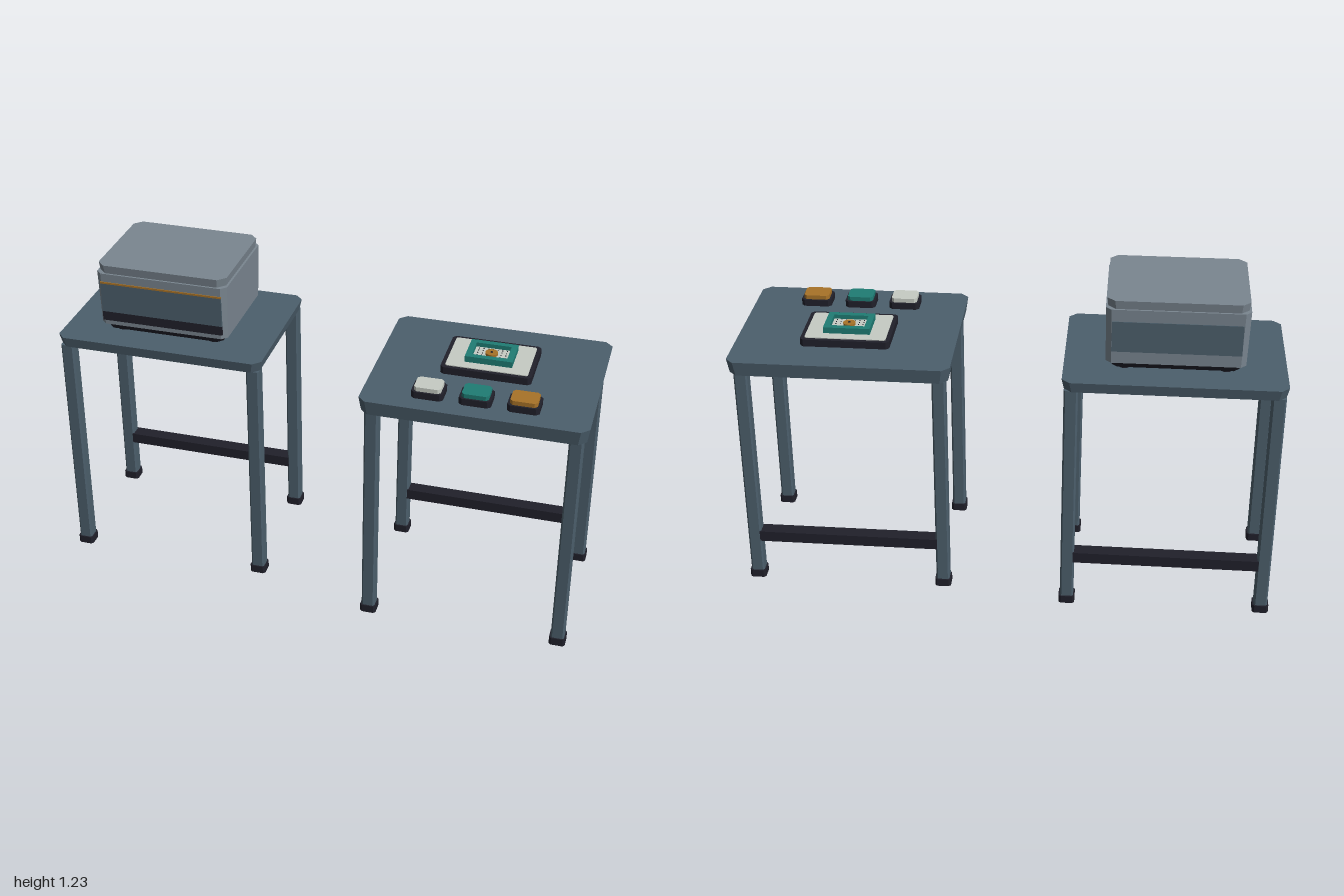
import * as THREE from 'three';

const paint = (name, color) => {
  const m = new THREE.MeshStandardMaterial({ color });
  m.name = name;
  return m;
};

// Upright block with cut corners; the bottom can be drawn in by "inset".
function block(w, d, h, cut, inset = 0) {
  const x = w / 2, z = d / 2;
  const s = new THREE.Shape([
    [x - cut, -z], [x, -z + cut], [x, z - cut], [x - cut, z],
    [-x + cut, z], [-x, z - cut], [-x, -z + cut], [-x + cut, -z],
  ].map(([a, b]) => new THREE.Vector2(a, b)));
  const g = new THREE.ExtrudeGeometry(s, { depth: h, bevelEnabled: false });
  g.rotateX(-Math.PI / 2);
  const p = g.attributes.position;
  for (let i = 0; i < p.count; i++) {
    if (p.getY(i) < h / 2) {
      p.setX(i, p.getX(i) * (1 - inset / x));
      p.setZ(i, p.getZ(i) * (1 - inset / z));
    }
  }
  g.computeVertexNormals();
  return g;
}

function add(parent, name, geometry, material, x, y, z) {
  const m = new THREE.Mesh(geometry, material);
  m.name = name;
  m.position.set(x, y, z);
  parent.add(m);
  return m;
}

export function createModel() {
  const slate = paint('slate', 0x4c5f6c);
  const grey = paint('steel grey', 0x7a8690);
  const dark = paint('near black', 0x20202a);
  const teal = paint('teal', 0x1f7c74);
  const amber = paint('amber', 0xa87328);
  const ivory = paint('ivory', 0xc6ccc4);

  const model = new THREE.Group();
  const group = (name) => {
    const g = new THREE.Group();
    g.name = name;
    model.add(g);
    return g;
  };

  // Table: top, four legs with feet, and a rear crossbar
  function table(name, cx, cz, w, d, under, legX, legZ, barY) {
    const t = group(name);
    add(t, 'tableTop', block(w, d, 0.945 - under, 0.028, 0.008), slate, cx, under, cz);
    for (const sx of [-1, 1]) {
      for (const sz of [-1, 1]) {
        const x = cx + sx * legX, z = cz + sz * legZ;
        add(t, 'leg', block(0.05, 0.05, under - 0.02, 0.006), slate, x, 0.02, z);
        add(t, 'foot', block(0.06, 0.06, 0.03, 0.008), dark, x, 0, z);
      }
    }
    add(t, 'crossbar', new THREE.BoxGeometry(legX * 2 - 0.04, 0.042, 0.054), dark, cx, barY, cz - legZ);
  }
  table('machineTable', -0.604, -0.073, 0.792, 0.565, 0.905, 0.363, 0.243, 0.205);
  table('controlTable', 0.596, 0.022, 0.808, 0.655, 0.89, 0.36, 0.27, 0.187);

  // Machine: feet, plinth, body and lid
  const machine = group('machine');
  const mx = -0.604, mz = -0.068;
  for (const sx of [-1, 1]) {
    for (const sz of [-1, 1]) {
      add(machine, 'machineFoot', new THREE.CylinderGeometry(0.022, 0.022, 0.025, 12), dark,
        mx + sx * 0.18, 0.9575, mz + sz * 0.135);
    }
  }
  add(machine, 'plinth', block(0.47, 0.385, 0.025, 0.02, 0.012), dark, mx, 0.962, mz);
  add(machine, 'body', block(0.502, 0.405, 0.208, 0.02, 0.005), grey, mx, 0.985, mz);
  add(machine, 'lid', block(0.494, 0.398, 0.033, 0.028, 0.004), grey, mx, 1.192, mz);

  // Front and back panels
  add(machine, 'frontPanel', new THREE.BoxGeometry(0.465, 0.115, 0.008), slate, mx, 1.0975, 0.132);
  add(machine, 'frontSlot', new THREE.BoxGeometry(0.465, 0.036, 0.009), dark, mx, 1.022, 0.131);
  add(machine, 'statusStrip', new THREE.BoxGeometry(0.465, 0.007, 0.009), amber, mx, 1.157, 0.1325);
  add(machine, 'backPanel', new THREE.BoxGeometry(0.455, 0.115, 0.008), slate, mx, 1.09, -0.268);

  // Test board: dark tray, pale plate, teal frame and amber core
  const board = group('testBoard');
  const bx = 0.593, bz = -0.034;
  add(board, 'tray', block(0.328, 0.24, 0.027, 0.012), dark, bx, 0.945, bz);
  add(board, 'plate', block(0.298, 0.21, 0.004, 0.006), ivory, bx, 0.971, bz);
  for (const s of [-1, 1]) {
    add(board, 'frameSide', new THREE.BoxGeometry(0.022, 0.024, 0.132), teal, bx + s * 0.075, 0.986, bz);
    add(board, 'frameEnd', new THREE.BoxGeometry(0.128, 0.024, 0.022), teal, bx, 0.986, bz + s * 0.055);
  }
  add(board, 'frameFloor', new THREE.BoxGeometry(0.13, 0.008, 0.09), ivory, bx, 0.978, bz);
  add(board, 'core', new THREE.CylinderGeometry(0.023, 0.023, 0.009, 16), amber, bx, 0.9865, bz);
  add(board, 'coreDot', new THREE.CylinderGeometry(0.005, 0.005, 0.002, 8), dark, bx, 0.992, bz);

  // Small contact dots around the core
  const dot = new THREE.CylinderGeometry(0.0022, 0.0022, 0.002, 6);
  for (let i = -3; i <= 3; i++) {
    for (let j = -2; j <= 2; j++) {
      if (Math.hypot(i * 0.017, j * 0.017) > 0.026) {
        add(board, 'contact', dot, dark, bx + i * 0.017, 0.983, bz + j * 0.017);
      }
    }
  }

  // Three push buttons in a row
  const buttons = group('buttons');
  [ivory, teal, amber].forEach((cap, i) => {
    const x = 0.424 + i * 0.169, z = 0.234;
    add(buttons, 'buttonBase', block(0.114, 0.092, 0.025, 0.012), dark, x, 0.945, z);
    add(buttons, 'buttonCap', block(0.096, 0.078, 0.017, 0.01), cap, x, 0.969, z);
  });

  return model;
}
